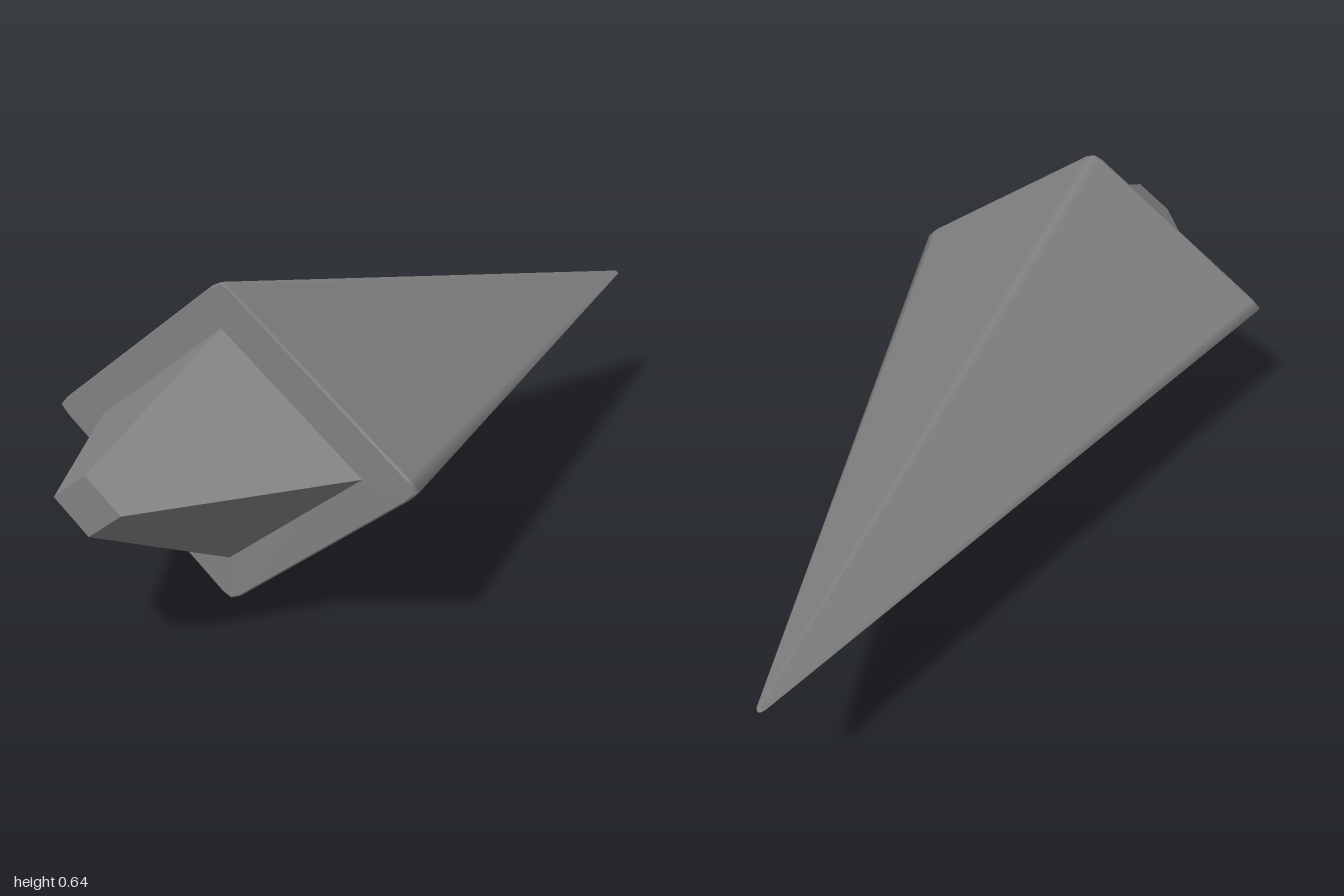
import * as THREE from 'three';

// Lofts a closed outline through rings [scaleX, scaleY, z] (front to back), capping both ends
function loft(outline, rings) {
  const n = outline.length, pos = [], index = [];
  for (const [sx, sy, z] of rings) {
    for (const [x, y] of outline) pos.push(x * sx, y * sy, z);
  }
  for (let r = 0; r < rings.length - 1; r++) {
    for (let i = 0; i < n; i++) {
      const j = (i + 1) % n;
      const a = r * n + i, b = r * n + j, c = a + n, d = b + n;
      index.push(a, c, b, b, c, d);
    }
  }
  const last = (rings.length - 1) * n, front = rings.length * n, back = front + 1;
  pos.push(0, 0, rings[0][2], 0, 0, rings[rings.length - 1][2]);
  for (let i = 0; i < n; i++) {
    const j = (i + 1) % n;
    index.push(front, i, j, back, last + j, last + i);
  }
  const geo = new THREE.BufferGeometry();
  geo.setAttribute('position', new THREE.Float32BufferAttribute(pos, 3));
  geo.setIndex(index);
  return geo;
}

export function createModel() {
  const group = new THREE.Group();
  const grey = new THREE.MeshStandardMaterial({ color: 0x808080 });
  grey.name = 'grey';
  const midY = 0.32;

  const add = (name, geo) => {
    geo.computeVertexNormals();
    const mesh = new THREE.Mesh(geo, grey);
    mesh.name = name;
    mesh.position.y = midY;
    group.add(mesh);
  };

  // Diamond outline with rounded corners, mirrored from one quarter
  const q = [[0.44, 0], [0.42, 0.02], [0.02, 0.312], [0, 0.32]];
  const half = [...q, ...q.slice(0, 3).reverse().map(([x, y]) => [-x, y])];
  const diamond = [...half, ...half.slice(1, -1).reverse().map(([x, y]) => [x, -y])];

  // Long spike with softened edges
  add('spike', loft(diamond, [
    [0.985, 0.985, 0.631],
    [0.997, 0.997, 0.629],
    [1, 1, 0.622],
    [0.02, 0.02, -0.992],
    [0.008, 0.008, -1],
  ]));

  // Sharp-edged stub tapering out of the front
  const sharp = [[1, 0], [0, 1], [-1, 0], [0, -1]];
  add('frontStub', loft(sharp, [
    [0.08, 0.057, 1],
    [0.323, 0.234, 0.628],
  ]).toNonIndexed());

  return group;
}
